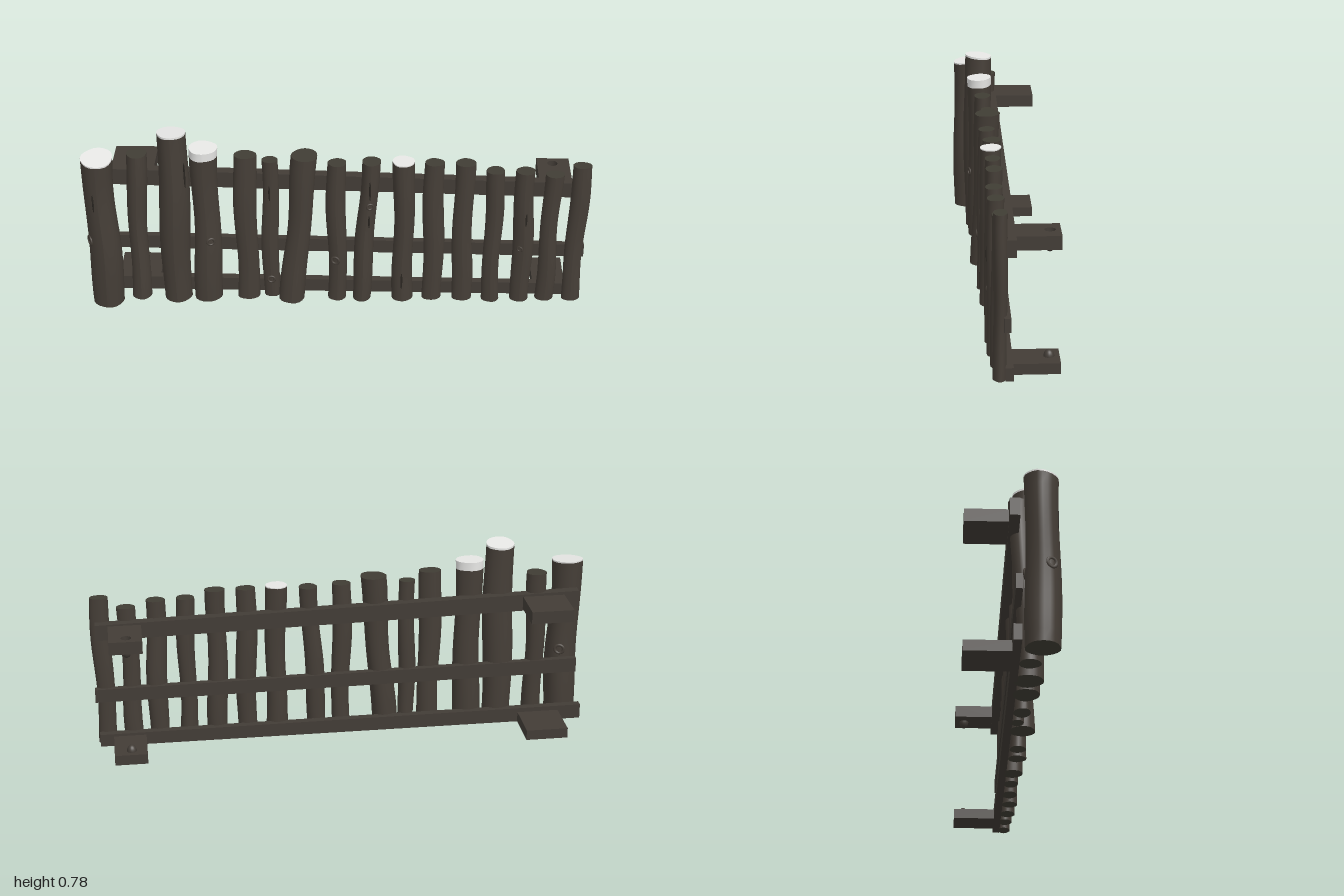
import * as THREE from 'three';

const mat = (name, color) => {
  const m = new THREE.MeshStandardMaterial({ color });
  m.name = name;
  return m;
};

// Each log: top x, bottom x, top z, bottom z, half width, half depth, height, top tilt to the front, snow depth
const LOGS = [
  [-0.935, -0.93, 0.105, 0.105, 0.064, 0.065, 0.677, 0.12, 0.006],
  [-0.79, -0.8, 0.03, 0.068, 0.04, 0.04, 0.655, 0.03, 0],
  [-0.645, -0.65, 0.068, 0.07, 0.061, 0.06, 0.774, -0.1, 0.008],
  [-0.523, -0.527, 0.07, 0.068, 0.056, 0.05, 0.708, 0.05, 0.035],
  [-0.36, -0.362, 0.062, 0.062, 0.046, 0.034, 0.674, 0.03, 0],
  [-0.265, -0.265, 0.046, 0.048, 0.034, 0.028, 0.643, 0.02, 0],
  [-0.128, -0.185, 0.05, 0.072, 0.051, 0.049, 0.667, 0.03, 0],
  [0, 0, 0.058, 0.064, 0.039, 0.034, 0.64, 0.03, 0],
  [0.135, 0.1, 0.042, 0.066, 0.038, 0.038, 0.638, 0.03, 0],
  [0.26, 0.265, 0.052, 0.056, 0.043, 0.04, 0.647, 0.03, 0.004],
  [0.383, 0.383, 0.05, 0.054, 0.042, 0.032, 0.642, 0.03, 0],
  [0.505, 0.508, 0.05, 0.054, 0.041, 0.032, 0.642, 0.03, 0],
  [0.622, 0.625, 0.056, 0.06, 0.036, 0.032, 0.612, 0.03, 0],
  [0.74, 0.743, 0.054, 0.056, 0.041, 0.034, 0.61, 0.03, 0],
  [0.857, 0.845, 0.044, 0.05, 0.037, 0.028, 0.59, 0.03, 0],
  [0.96, 0.953, 0.047, 0.05, 0.038, 0.026, 0.634, 0.03, 0],
];

export function createModel() {
  const bark = mat('bark', 0x453e37);
  const cutWood = mat('cutWood', 0x403d34);
  const plank = mat('plank', 0x423c36);
  const snow = mat('snow', 0xe8e8e6);
  const crack = mat('crack', 0x2a2621);

  const group = new THREE.Group();
  const add = (name, geometry, material, parent = group) => {
    const mesh = new THREE.Mesh(geometry, material);
    mesh.name = name;
    parent.add(mesh);
    return mesh;
  };

  // Centre and swelling of a log at height fraction t
  const logAt = ([xt, xb, zt, zb], i, t) => {
    const fade = Math.sin(Math.PI * t);
    return {
      x: xb + (xt - xb) * t + 0.007 * fade * Math.sin(5 * t + i * 1.9),
      z: zb + (zt - zb) * t + 0.003 * fade * Math.sin(4 * t + i * 2.7),
      s: 0.97 + 0.05 * Math.sin(6.5 * t + i * 2.3),
    };
  };

  // A length of log between two heights, bent along its own axis
  const logGeometry = (log, i, y0, y1, rows) => {
    const [, , , , rx, rz, h, tilt] = log;
    const geo = new THREE.CylinderGeometry(1, 1, 1, 20, rows);
    const p = geo.attributes.position;
    for (let k = 0; k < p.count; k++) {
      const y = y0 + (p.getY(k) + 0.5) * (y1 - y0);
      const t = y / h;
      const c = logAt(log, i, t);
      const a = Math.atan2(p.getX(k), p.getZ(k));
      const bump = c.s * (1 + 0.025 * Math.sin(3 * a + i) + 0.015 * Math.sin(5 * a + 4 * t));
      const dz = p.getZ(k) * rz * bump;
      const lift = t > 0.9 ? -tilt * dz : 0;
      p.setXYZ(k, c.x + p.getX(k) * rx * bump, y + lift, c.z + dz);
    }
    geo.computeVertexNormals();
    return geo;
  };

  // Palisade of logs, some with a snow cap
  LOGS.forEach((log, i) => {
    const post = new THREE.Group();
    post.name = 'post' + (i + 1);
    group.add(post);
    const h = log[6];
    const split = h - log[8];
    add('log', logGeometry(log, i, 0.003, split, 14), [bark, cutWood, cutWood], post);
    if (log[8]) add('snowCap', logGeometry(log, i, split, h, 1), snow, post);
  });

  // Knots and splits in the bark: log index, height, angle round the log, size
  const onBark = (i, y, angle, mesh) => {
    const log = LOGS[i];
    const c = logAt(log, i, y / log[6]);
    mesh.position.set(c.x + Math.sin(angle) * log[4] * c.s, y, c.z + Math.cos(angle) * log[5] * c.s);
    mesh.rotation.y = angle;
  };
  [[0, 0.31, -1.1, 0.018], [0, 0.3, 2.8, 0.018], [3, 0.295, 0.3, 0.014], [7, 0.2, -0.3, 0.015],
    [5, 0.09, 0, 0.014], [8, 0.45, 0.2, 0.012], [13, 0.26, -0.4, 0.01]].forEach(([i, y, a, r]) => {
    const knot = add('knot', new THREE.TorusGeometry(r, r * 0.35, 8, 16), bark);
    knot.scale.z = 0.7;
    onBark(i, y, a, knot);
  });
  [[0, 0.5, -0.3, 0.08], [2, 0.6, 0.9, 0.12], [8, 0.52, 0, 0.09], [8, 0.38, 0.3, 0.06],
    [9, 0.1, 0, 0.08], [5, 0.5, -0.2, 0.07], [13, 0.4, 0.2, 0.06]].forEach(([i, y, a, len]) => {
    const split = add('barkSplit', new THREE.SphereGeometry(1, 8, 8), crack);
    split.scale.set(0.004, len / 2, 0.003);
    onBark(i, y, a, split);
  });

  // Three rails behind the logs, sloping slightly down to the left
  const rail = (name, x0, x1, left, right, z0, z1) => {
    const geo = new THREE.BoxGeometry(x1 - x0, 1, z1 - z0, 12, 1, 1);
    geo.translate((x0 + x1) / 2, 0.5, (z0 + z1) / 2);
    const p = geo.attributes.position;
    for (let k = 0; k < p.count; k++) {
      const t = (p.getX(k) - x0) / (x1 - x0);
      const lo = left[0] + (right[0] - left[0]) * t;
      const hi = left[1] + (right[1] - left[1]) * t;
      p.setY(k, lo + (hi - lo) * p.getY(k));
    }
    geo.computeVertexNormals();
    add(name, geo, plank);
  };
  rail('topRail', -0.96, 0.98, [0.51, 0.58], [0.472, 0.537], -0.01, 0.028);
  rail('middleRail', -0.97, 0.995, [0.212, 0.272], [0.195, 0.25], 0.01, 0.035);
  rail('bottomRail', -0.995, 0.985, [0.003, 0.064], [0.003, 0.055], 0, 0.03);

  // Bracket plates sticking out of the back
  const bracket = (name, x0, x1, y0, y1) => {
    const geo = new THREE.BoxGeometry(x1 - x0, y1 - y0, 0.172);
    geo.translate((x0 + x1) / 2, (y0 + y1) / 2, -0.086);
    add(name, geo, plank);
  };
  bracket('upperRightBracket', -0.9, -0.73, 0.515, 0.566);
  bracket('lowerRightBracket', -0.9, -0.73, 0.003, 0.045);
  bracket('lowerLeftBracket', 0.8, 0.93, 0.003, 0.045);

  // Upper left plate has a hinge socket, the lower left plate a rounded pin
  const outline = new THREE.Shape([[0.8, 0], [0.93, 0], [0.93, 0.172], [0.8, 0.172]]
    .map(([x, y]) => new THREE.Vector2(x, y)));
  const hole = new THREE.Path();
  hole.absarc(0.862, 0.133, 0.02, 0, Math.PI * 2, true);
  outline.holes.push(hole);
  const socketPlate = new THREE.ExtrudeGeometry(outline, { depth: 0.052, bevelEnabled: false, curveSegments: 16 });
  socketPlate.rotateX(-Math.PI / 2);
  socketPlate.translate(0, 0.48, 0);
  add('upperLeftBracket', socketPlate, plank);

  const plankDouble = plank.clone();
  plankDouble.name = 'plankOpen';
  plankDouble.side = THREE.DoubleSide;
  const dome = new THREE.SphereGeometry(0.02, 16, 8, 0, Math.PI * 2, 0, Math.PI / 2);
  const socket = add('hingeSocket', dome, plankDouble);
  socket.position.set(0.862, 0.48, -0.133);
  socket.scale.y = -1.5;
  const pin = add('hingePin', dome, plank);
  pin.position.set(0.862, 0.043, -0.133);
  pin.scale.y = 1.4;

  return group;
}
